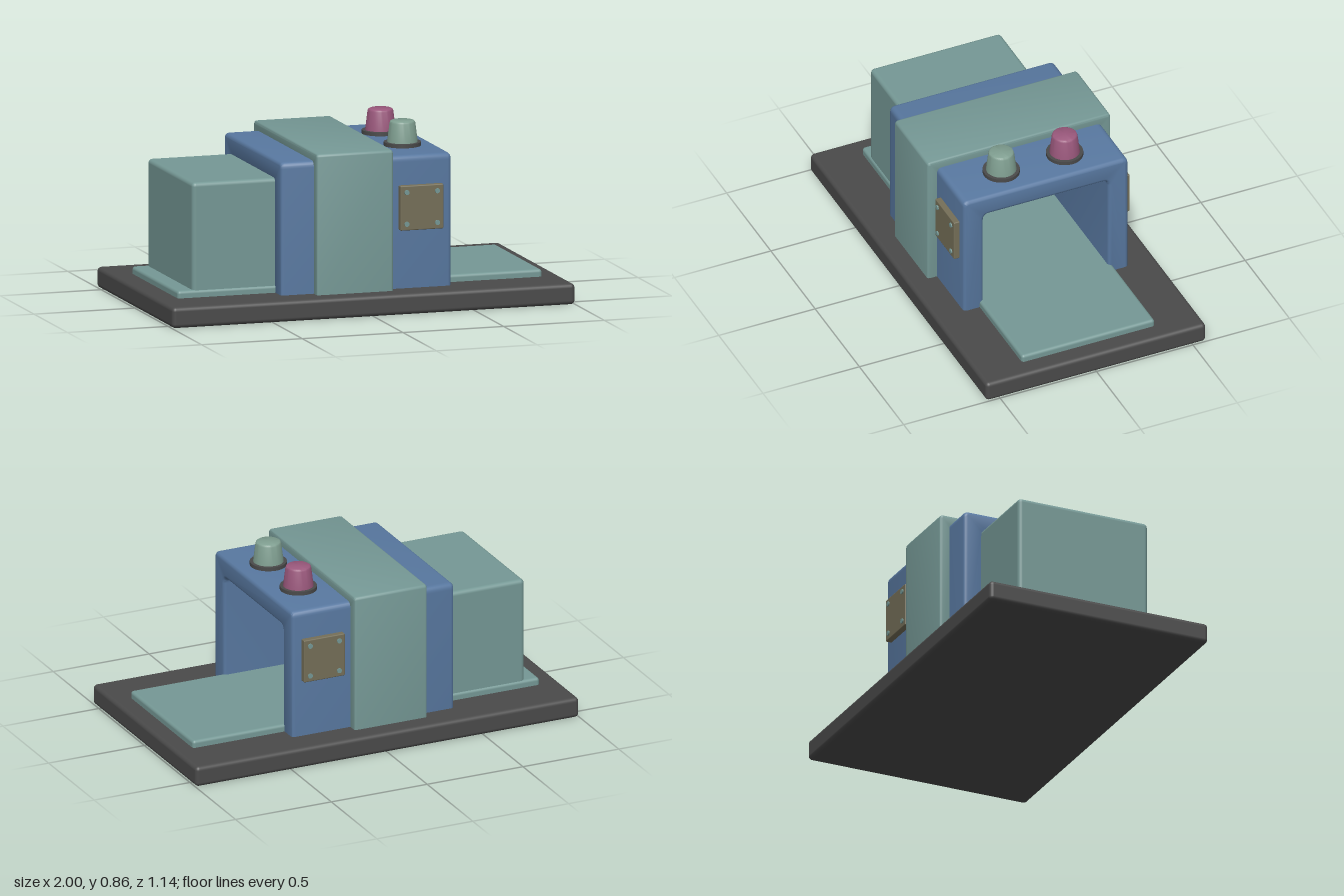
import * as THREE from 'three';
import { RoundedBoxGeometry } from 'three/addons/geometries/RoundedBoxGeometry.js';
import { toCreasedNormals } from 'three/addons/utils/BufferGeometryUtils.js';

const mat = (color) => new THREE.MeshStandardMaterial({ color });

export function createModel() {
  const model = new THREE.Group();
  const dark = mat(0x4a4a4a), teal = mat(0x759895), blue = mat(0x5878a0);
  const pink = mat(0x9a587c), green = mat(0x7f9e90), brass = mat(0x756f58);

  const add = (name, geometry, material, parent = model) => {
    const mesh = new THREE.Mesh(geometry, material);
    mesh.name = name;
    parent.add(mesh);
    return mesh;
  };

  // Rounded box given by its minimum and maximum corners
  const box = (name, a, b, radius, material) => {
    const size = b.map((v, i) => v - a[i]);
    const mesh = add(name, new RoundedBoxGeometry(...size, 3, radius), material);
    mesh.position.set(...b.map((v, i) => (v + a[i]) / 2));
    return mesh;
  };

  // Upside-down U swept along x, with rounded corners and bevelled rims
  const arch = (name, x0, x1, outerW, outerH, innerW, innerH, r, bevel, material) => {
    const foot = 0.06;
    const s = new THREE.Shape();
    s.moveTo(-outerW, foot);
    s.lineTo(-innerW, foot);
    s.lineTo(-innerW, innerH - r);
    s.quadraticCurveTo(-innerW, innerH, -innerW + r, innerH);
    s.lineTo(innerW - r, innerH);
    s.quadraticCurveTo(innerW, innerH, innerW, innerH - r);
    s.lineTo(innerW, foot);
    s.lineTo(outerW, foot);
    s.lineTo(outerW, outerH - r);
    s.quadraticCurveTo(outerW, outerH, outerW - r, outerH);
    s.lineTo(-outerW + r, outerH);
    s.quadraticCurveTo(-outerW, outerH, -outerW, outerH - r);
    s.closePath();
    const g = new THREE.ExtrudeGeometry(s, {
      depth: x1 - x0 - 2 * bevel, curveSegments: 6,
      bevelThickness: bevel, bevelSize: bevel, bevelOffset: -bevel, bevelSegments: 3,
    });
    g.rotateY(Math.PI / 2).translate(x0 + bevel, 0, 0);
    return add(name, toCreasedNormals(g, 0.7), material);
  };

  // Base slab, conveyor bed and rear housing with its dark inner panel
  box('base', [-1, 0, -0.57], [1, 0.1, 0.57], 0.02, dark);
  box('conveyorBed', [-0.9, 0.07, -0.345], [0.91, 0.135, 0.345], 0.015, teal);
  box('rearHousing', [-0.825, 0.1, -0.338], [-0.38, 0.648, 0.338], 0.02, teal);
  box('tunnelEndPanel', [-0.4, 0.11, -0.308], [-0.37, 0.62, 0.308], 0.004, dark);

  // Tunnel and the wider band around it
  arch('tunnel', -0.415, 0.432, 0.427, 0.735, 0.323, 0.632, 0.03, 0.018, blue);
  arch('tunnelBand', -0.252, 0.128, 0.475, 0.775, 0.4, 0.7, 0.022, 0.012, teal);

  // Side plates, each with four screws
  for (const side of [1, -1]) {
    const plate = new THREE.Group();
    plate.name = side > 0 ? 'frontPlate' : 'backPlate';
    plate.position.set(0.276, 0.488, side * 0.44);
    model.add(plate);
    add('plate', new RoundedBoxGeometry(0.214, 0.214, 0.032, 2, 0.005), brass, plate);
    for (const x of [-0.076, 0.076]) for (const y of [-0.076, 0.076]) {
      const screw = add('screw', new THREE.CylinderGeometry(0.012, 0.012, 0.014, 16), teal, plate);
      screw.rotation.x = Math.PI / 2;
      screw.position.set(x, y, side * 0.015);
    }
  }

  // Tapered buttons on dark collars
  const profile = [[0, 0], [0.074, 0], [0.072, 0.02], [0.061, 0.108], [0.058, 0.116], [0.051, 0.12], [0, 0.12]]
    .map(([x, y]) => new THREE.Vector2(x, y));
  for (const [name, z, material] of [['greenButton', 0.162, green], ['pinkButton', -0.167, pink]]) {
    const button = new THREE.Group();
    button.name = name;
    button.position.set(0.276, 0.735, z);
    model.add(button);
    const collar = add('collar', new THREE.CylinderGeometry(0.088, 0.088, 0.026, 40), dark, button);
    collar.position.y = 0.005;
    add('cap', toCreasedNormals(new THREE.LatheGeometry(profile, 40), 0.7), material, button);
  }

  return model;
}
